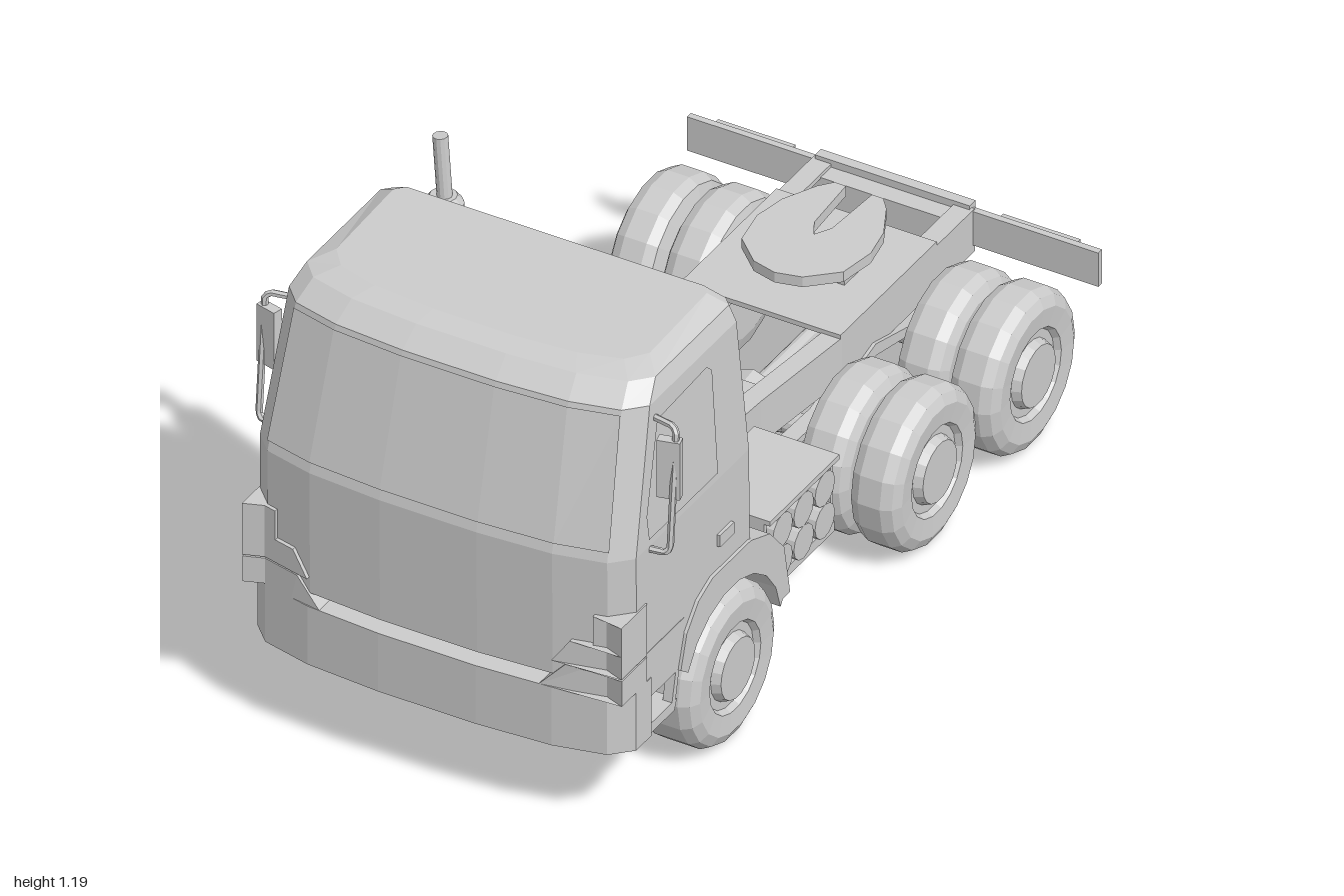
import * as THREE from 'three';

const material = new THREE.MeshStandardMaterial({ color: 0xcccccc, flatShading: true, side: THREE.DoubleSide });
const V = (x, y, z) => new THREE.Vector3(x, y, z);

export function createModel() {
  const truck = new THREE.Group();
  truck.name = 'tractorTruck';

  const add = (name, geometry, parent = truck) => {
    const mesh = new THREE.Mesh(geometry, material);
    mesh.name = name;
    parent.add(mesh);
    return mesh;
  };
  // Box given by its limits
  const box = (name, x0, x1, y0, y1, z0, z1) => add(name,
    new THREE.BoxGeometry(Math.abs(x1 - x0), y1 - y0, z1 - z0).translate((x0 + x1) / 2, (y0 + y1) / 2, (z0 + z1) / 2));
  // Cylinder between two points
  const rod = (name, a, b, r0, r1 = r0, sides = 12) => {
    const mesh = add(name, new THREE.CylinderGeometry(r1, r0, a.distanceTo(b), sides));
    mesh.position.copy(a).lerp(b, 0.5);
    mesh.quaternion.setFromUnitVectors(V(0, 1, 0), b.clone().sub(a).normalize());
    return mesh;
  };
  const shapeOf = (pts) => new THREE.Shape(pts.map(([a, b]) => new THREE.Vector2(a, b)));
  // Outline of [z, y] extruded along x
  const sidePrism = (name, pts, x0, x1) => add(name,
    new THREE.ExtrudeGeometry(shapeOf(pts), { depth: x1 - x0, bevelEnabled: false }).rotateY(-Math.PI / 2).translate(x1, 0, 0));
  // Outline of [x, z] extruded along y
  const topPrism = (name, pts, y0, y1) => add(name,
    new THREE.ExtrudeGeometry(shapeOf(pts), { depth: y1 - y0, bevelEnabled: false }).rotateX(Math.PI / 2).translate(0, y1, 0));
  // Skin over stacked closed rings, capped at both ends
  const loft = (name, rings) => {
    const n = rings[0].length, index = [];
    for (let i = 0; i < rings.length - 1; i++) for (let j = 0; j < n; j++) {
      const a = i * n + j, b = i * n + (j + 1) % n;
      index.push(a, b, b + n, a, b + n, a + n);
    }
    const top = (rings.length - 1) * n;
    for (let j = 1; j < n - 1; j++) index.push(0, j + 1, j, top, top + j, top + j + 1);
    const geometry = new THREE.BufferGeometry().setFromPoints(rings.flat());
    geometry.setIndex(index);
    geometry.computeVertexNormals();
    return add(name, geometry);
  };
  // Flat convex panel
  const panel = (name, pts) => {
    const geometry = new THREE.BufferGeometry().setFromPoints(pts);
    geometry.setIndex(pts.slice(2).flatMap((_, i) => [0, i + 1, i + 2]));
    geometry.computeVertexNormals();
    return add(name, geometry);
  };

  // Cab: plan outline bowed at the front, narrowing upward
  const half = [[0.12, 0], [0.3, -0.012], [0.42, -0.04], [0.465, -0.085]];
  const bow = [...half.map(([x, z]) => [-x, z]).reverse(), ...half];
  const cabRing = ([y, hw, zf, zb, tilt = 0]) => {
    const pts = bow.map(([x, z]) => [x * hw / 0.465, zf + z]);
    pts.push([hw, zb + 0.02], [hw - 0.02, zb], [-hw + 0.02, zb], [-hw, zb + 0.02]);
    return pts.map(([x, z]) => V(x, y + tilt * (zf - z), z));
  };
  loft('cab', [
    [0.39, 0.462, 0.982, 0.4], [0.7, 0.462, 0.985, 0.405], [1.035, 0.443, 0.895, 0.425],
    [1.075, 0.428, 0.845, 0.43], [1.088, 0.385, 0.795, 0.45, 0.045],
  ].map(cabRing));

  // Windscreen, slightly proud of the sloping front
  const screen = [[0.725, 0.978], [1.025, 0.898]].map(([y, z]) =>
    bow.slice(1, -1).map(([x, dz]) => V(x * (y < 0.9 ? 1 : 0.955), y, z + dz + 0.004)));
  for (let i = 0; i < screen[0].length - 1; i++)
    panel('windscreen', [screen[0][i], screen[0][i + 1], screen[1][i + 1], screen[1][i]]);

  // Front bumper and stepped lamps follow the bowed front
  const bowZ = (x) => {
    const i = Math.max(1, half.findIndex(([hx]) => hx >= x - 1e-6));
    const [[xa, za], [xb, zb]] = [half[i - 1], half[i]];
    return x <= xa ? za : za + (zb - za) * (x - xa) / (xb - xa);
  };
  loft('bumper', [0.21, 0.36].map((y) => [
    ...bow.map(([x, z]) => V(x, y, 0.99 + z)), V(0.465, y, 0.84), V(-0.465, y, 0.84)]));
  const corner = (name, side, xLow, xHigh, y0, y1, front) => {
    const rings = [[xLow, y0], [xHigh, y1]].map(([xi, y]) => {
      const xs = [xi, (xi + 0.42) / 2, 0.42, 0.466].sort((a, b) => a - b);
      const ring = xs.map((x) => V(x * side, y, front + bowZ(x)));
      ring.push(V(0.466 * side, y, 0.86), V(xi * side, y, 0.86));
      return side > 0 ? ring : ring.reverse();
    });
    loft(name, rings);
  };

  // Wheels: tyre and recessed rim turned about the axle
  const wheel = (name, side, x0, x1, z) => {
    const profile = [[0, x0], [0.14, x0], [0.178, x0 + 0.012], [0.19, x0 + 0.035], [0.19, x1 - 0.035],
      [0.178, x1 - 0.012], [0.155, x1], [0.108, x1 - 0.004], [0.1, x1 - 0.018], [0.08, x1 - 0.018],
      [0.072, x1 + 0.003], [0, x1 + 0.003]];
    const geometry = new THREE.LatheGeometry(profile.map(([r, h]) => new THREE.Vector2(r, h)), 18);
    add(name, geometry.rotateZ(-side * Math.PI / 2).translate(0, 0.193, z));
  };

  for (const s of [1, -1]) {
    const span = (a, b) => (s > 0 ? [a, b] : [-b, -a]);
    corner('bumperCorner', s, 0.27, 0.33, 0.36, 0.425, 0.99);
    corner('headlamp', s, 0.3, 0.34, 0.43, 0.488, 0.992);
    corner('indicator', s, 0.39, 0.39, 0.488, 0.562, 0.992);

    // Side window, door edge and handle
    const sideX = (y) => s * (0.466 - 0.057 * Math.max(0, y - 0.7));
    panel('sideWindow', [[0.72, 0.56], [0.72, 0.85], [0.78, 0.855], [0.99, 0.79], [1.0, 0.58], [0.98, 0.56]]
      .map(([y, z]) => V(sideX(y), y, z)));
    box('doorHandle', ...span(0.455, 0.47), 0.53, 0.56, 0.5, 0.56);

    // Entry steps
    box('stepPanel', ...span(0.33, 0.463), 0.31, 0.43, 0.7, 0.9);
    box('stepWall', ...span(0.33, 0.345), 0.21, 0.31, 0.72, 0.88);
    sidePrism('stepTread', [[0.88, 0.215], [0.74, 0.215], [0.73, 0.24], [0.88, 0.24]], ...span(0.33, 0.463));
    sidePrism('stepBrace', [[0.72, 0.31], [0.74, 0.22], [0.755, 0.22], [0.735, 0.31]], ...span(0.44, 0.463));

    // Front wheel arch
    const arch = [[0.725, 0.31], [0.7, 0.39], [0.65, 0.445], [0.59, 0.47], [0.43, 0.47], [0.35, 0.44],
      [0.29, 0.37], [0.265, 0.24], [0.295, 0.24]];
    for (let i = 0; i <= 8; i++) {
      const a = Math.PI * (0.95 - 0.8 * i / 8);
      arch.push([0.51 + 0.207 * Math.cos(a), 0.193 + 0.207 * Math.sin(a)]);
    }
    sidePrism('frontFender', arch, ...span(0.22, 0.47));

    // Wheels
    wheel('frontWheel', s, 0.33, 0.482, 0.51);
    for (const z of [-0.34, -0.755]) {
      wheel('rearInnerWheel', s, 0.228, 0.352, z);
      wheel('rearOuterWheel', s, 0.358, 0.482, z);
    }

    // Mirror and its bracket
    const path = new THREE.CurvePath();
    const pts = [V(0.44, 0.995, 0.79), V(0.495, 0.995, 0.8), V(0.505, 0.985, 0.805), V(0.505, 0.7, 0.83),
      V(0.495, 0.69, 0.835), V(0.455, 0.69, 0.84)].map((p) => V(p.x * s, p.y, p.z));
    for (let i = 0; i < pts.length - 1; i++) path.add(new THREE.LineCurve3(pts[i], pts[i + 1]));
    add('mirrorBracket', new THREE.TubeGeometry(path, 40, 0.008, 6));
    const mirror = box('mirror', ...span(-0.026, 0.026), -0.073, 0.073, -0.012, 0.012);
    mirror.position.set(s * 0.492, 0.893, 0.81);
    mirror.rotation.y = s * 0.25;

    // Frame rail: channel open to the inside, narrowing forward
    const rail = (t) => [[0.197, -0.98], [0.197, -0.42], [0.168, -0.13], [0.14, 0.4], [0.14, 0.88],
      [0.14 - t, 0.88], [0.14 - t, 0.4], [0.168 - t, -0.13], [0.197 - t, -0.42], [0.197 - t, -0.98]]
      .map(([x, z]) => [x * s, z]);
    topPrism('railWeb', rail(0.012), 0.285, 0.39);
    topPrism('railTopFlange', rail(0.047), 0.378, 0.39);
    topPrism('railBottomFlange', rail(0.047), 0.28, 0.292);

    // Springs, tail lamps
    sidePrism('frontSpring', [[0.86, 0.2], [0.6, 0.155], [0.42, 0.155], [0.2, 0.24], [0.2, 0.265], [0.42, 0.19],
      [0.6, 0.19], [0.86, 0.235]], ...span(0.17, 0.21));
    box('springMount', ...span(0.2, 0.33), 0.16, 0.215, 0.84, 0.88);
    sidePrism('rearSpring', [[-0.2, 0.235], [-0.34, 0.225], [-0.55, 0.27], [-0.755, 0.225], [-0.9, 0.235], [-0.9, 0.25],
      [-0.755, 0.245], [-0.55, 0.3], [-0.34, 0.245], [-0.2, 0.25]], ...span(0.165, 0.205));
    box('tailLamp', ...span(0.255, 0.445), 0.305, 0.385, -1, -0.985);
  }

  // Cross-members and rear bar
  for (const [z0, z1, x] of [[-0.98, -0.925, 0.19], [-0.19, -0.135, 0.155], [0.16, 0.21, 0.135], [0.78, 0.83, 0.13]])
    box('crossMember', -x, x, 0.31, 0.382, z0, z1);
  box('rearBar', -0.505, 0.505, 0.3, 0.387, -0.988, -0.972);
  box('rearBarCentre', -0.19, 0.19, 0.285, 0.4, -0.995, -0.97);

  // Coupling plate with a tapering slot, on its base
  box('couplingBase', -0.197, 0.197, 0.388, 0.4, -0.82, -0.415);
  box('couplingPedestal', -0.11, 0.11, 0.4, 0.436, -0.66, -0.58);
  topPrism('couplingPlate', [[-0.06, -0.49], [0, -0.475], [0.06, -0.49], [0.125, -0.55], [0.14, -0.64], [0.125, -0.72],
    [0.085, -0.8], [0.06, -0.83], [0.032, -0.83], [0.022, -0.68], [0, -0.64], [-0.022, -0.68], [-0.032, -0.83],
    [-0.06, -0.83], [-0.085, -0.8], [-0.125, -0.72], [-0.14, -0.64], [-0.125, -0.55]], 0.432, 0.458);

  // Axles, differentials and drive shaft
  for (const z of [0.51, -0.34, -0.755]) {
    const w = z > 0 ? 0.34 : 0.24;
    rod('axle', V(-w, 0.193, z), V(w, 0.193, z), 0.026);
    for (const s of [1, -1]) rod('differentialCone', V(0, 0.2, z), V(s * 0.11, 0.195, z), 0.058, 0.028, 10);
    if (z < 0) rod('differentialNose', V(0, 0.205, z - 0.04), V(0, 0.22, z + 0.07), 0.056, 0.026, 10);
  }
  rod('driveShaft', V(0, 0.225, -0.28), V(0, 0.28, 0.6), 0.018);
  rod('shaftJoint', V(0, 0.245, 0.08), V(0, 0.25, 0.13), 0.028);
  rod('rearDriveShaft', V(0, 0.21, -0.38), V(0, 0.21, -0.7), 0.016);
  box('gearbox', -0.08, 0.08, 0.22, 0.37, 0.42, 0.78);

  // Fuel tank with chamfered edges, filler cap and brackets
  const tank = new THREE.ExtrudeGeometry(shapeOf([[-0.11, -0.085], [0.11, -0.085], [0.11, 0.085], [-0.11, 0.085]]),
    { depth: 0.31, bevelSize: 0.016, bevelThickness: 0.015, bevelSegments: 1 });
  add('fuelTank', tank.translate(-0.306, 0.252, -0.098));
  rod('fillerCap', V(-0.382, 0.345, 0.172), V(-0.382, 0.37, 0.172), 0.026);
  for (const z of [-0.02, 0.13]) {
    box('tankBracket', -0.19, -0.14, 0.2, 0.35, z - 0.03, z + 0.03);
    box('rackBracket', 0.14, 0.2, 0.2, 0.35, z - 0.03, z + 0.03);
  }

  // Air tank rack: six tanks lying across
  box('rackTop', 0.18, 0.39, 0.348, 0.36, -0.08, 0.212);
  box('rackBottom', 0.18, 0.375, 0.155, 0.18, -0.085, 0.2);
  box('rackBack', 0.18, 0.2, 0.17, 0.35, -0.075, 0.208);
  for (const z of [-0.073, 0.207]) box('rackEnd', 0.18, 0.375, 0.17, 0.35, z - 0.005, z + 0.005);
  for (const z of [-0.022, 0.067, 0.156]) for (const y of [0.222, 0.305])
    rod('airTank', V(0.19, y, z), V(0.388, y, z), 0.042);

  // Exhaust stack
  rod('exhaustElbow', V(-0.12, 0.39, 0.405), V(-0.3, 0.47, 0.375), 0.02);
  rod('exhaustRiser', V(-0.3, 0.46, 0.385), V(-0.325, 0.62, 0.362), 0.024);
  rod('silencer', V(-0.325, 0.61, 0.362), V(-0.325, 1.025, 0.362), 0.045);
  rod('silencerCap', V(-0.325, 1.025, 0.362), V(-0.325, 1.045, 0.362), 0.045, 0.03);
  rod('exhaustTip', V(-0.322, 1.04, 0.362), V(-0.333, 1.195, 0.362), 0.017);

  return truck;
}
